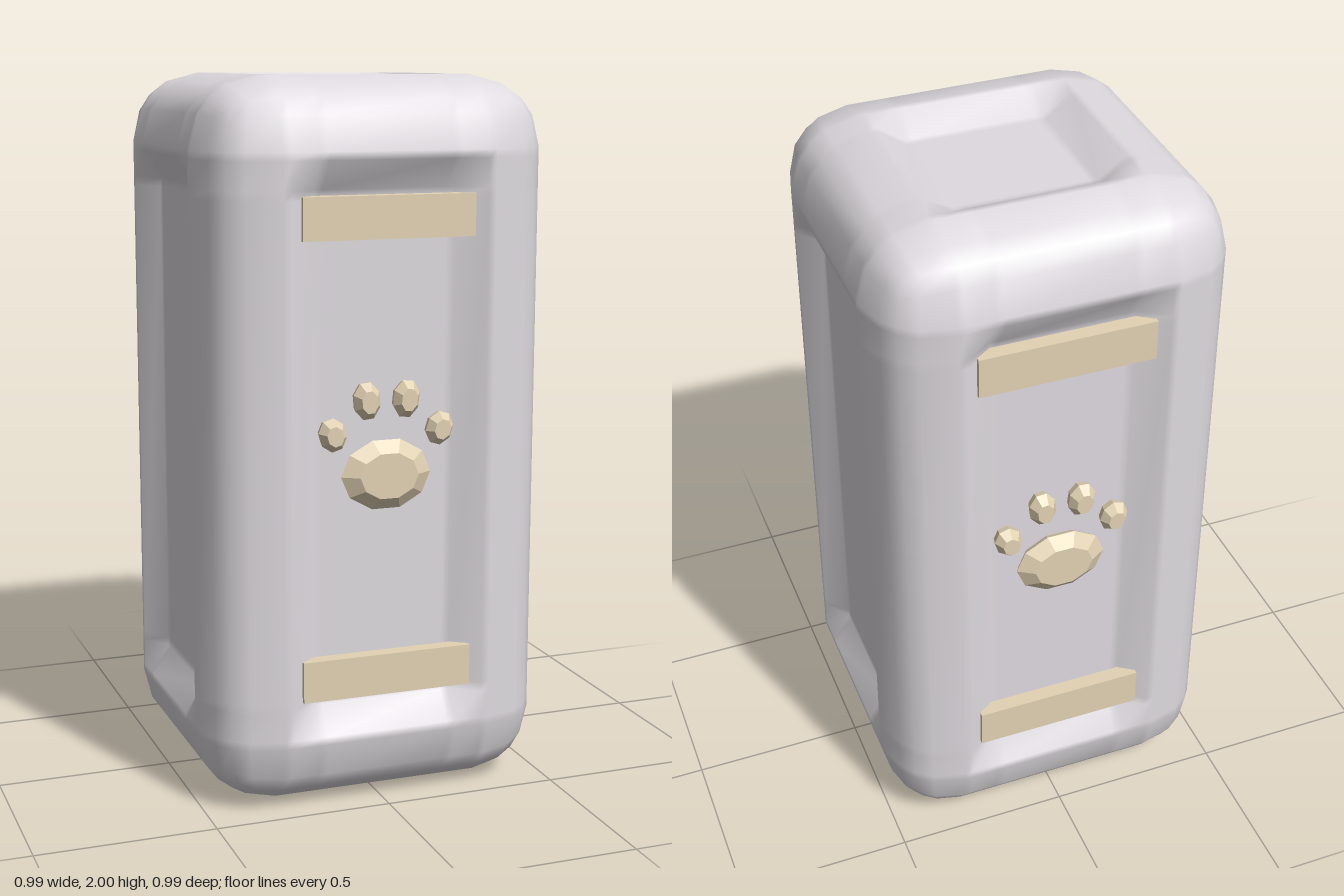
import * as THREE from 'three';
import { mergeVertices } from 'three/addons/utils/BufferGeometryUtils.js';

const HALF = [0.495, 1, 0.495];   // half size of the casing
const R = 0.195;                  // edge rounding
const DEPTH = 0.053;              // panel recess
const PANEL = HALF[2] - DEPTH;    // z of the recessed front panel

// Rounded casing with a sunken panel on each of its six sides
function casingGeometry() {
  const box = new THREE.BoxGeometry(2, 2, 2, 11, 11, 11);
  box.deleteAttribute('uv');
  box.deleteAttribute('normal');
  const geo = mergeVertices(box);
  const pos = geo.attributes.position;
  const core = HALF.map(h => h - R);
  for (let i = 0; i < pos.count; i++) {
    const unit = [pos.getX(i), pos.getY(i), pos.getZ(i)];
    // grid lines: floor, floor edge, rim, start of rounding, mid rounding, edge
    const p = unit.map((u, a) => {
      const h = HALF[a], k = Math.round((Math.abs(u) * 11 - 1) / 2);
      return Math.sign(u) * [h - 0.32, h - 0.295, h - 0.217, core[a], core[a] + 0.55 * R, h][k];
    });
    const inner = p.map((v, a) => Math.abs(v) <= HALF[a] - 0.29);
    // round off the edges and corners
    const q = p.map((v, a) => THREE.MathUtils.clamp(v, -core[a], core[a]));
    const d = p.map((v, a) => v - q[a]);
    const len = Math.hypot(...d);
    const out = q.map((v, a) => v + d[a] * R / len);
    // sink the panel floors
    for (let a = 0; a < 3; a++) {
      if (!inner[a] && inner[(a + 1) % 3] && inner[(a + 2) % 3]) out[a] -= Math.sign(p[a]) * DEPTH;
    }
    pos.setXYZ(i, out[0], out[1] + 1, out[2]);
  }
  geo.computeVertexNormals();
  return geo;
}

// Faceted cushion facing +z, with radius 1 and height 1
function cushionGeometry(profile, sides) {
  const geo = new THREE.LatheGeometry(profile.map(([r, y]) => new THREE.Vector2(r, y)), sides);
  geo.rotateX(Math.PI / 2);
  geo.rotateZ(Math.PI / sides);
  const flat = geo.toNonIndexed();
  flat.computeVertexNormals();
  return flat;
}

export function createModel() {
  const model = new THREE.Group();
  model.name = 'pawPrintBlock';
  const grey = new THREE.MeshStandardMaterial({ color: 0xdedadf });
  grey.name = 'pale grey';
  const tan = new THREE.MeshStandardMaterial({ color: 0xe2d2b3 });
  tan.name = 'sand';

  const add = (parent, name, geo, mat) => {
    const mesh = new THREE.Mesh(geo, mat);
    mesh.name = name;
    parent.add(mesh);
    return mesh;
  };

  add(model, 'casing', casingGeometry(), grey);

  const barGeo = new THREE.BoxGeometry(0.49, 0.115, 0.06);
  const padGeo = cushionGeometry([[0.85, 0], [1, 0.5], [0.65, 1], [0, 1]], 10);
  const toeGeo = cushionGeometry([[0.8, 0], [1, 0.55], [0.6, 1], [0, 1]], 8);

  // The same decoration sits on the front and the back panel
  for (const side of ['front', 'back']) {
    const face = new THREE.Group();
    face.name = side + 'Decoration';
    if (side === 'back') face.rotation.y = Math.PI;
    model.add(face);

    add(face, 'lowerBar', barGeo, tan).position.set(0, 0.375, 0.455);
    add(face, 'upperBar', barGeo, tan).position.set(0, 1.632, 0.455);

    // paw print: one wide pad and four toes
    const pad = add(face, 'pawPad', padGeo, tan);
    pad.position.set(0, 0.935, PANEL - 0.01);
    pad.scale.set(0.13, 0.1, 0.057);
    for (const s of [-1, 1]) {
      for (const [name, x, y, ry, tilt] of [
        ['innerToe', 0.057, 1.14, 0.054, -0.1],
        ['outerToe', 0.155, 1.053, 0.048, -0.3],
      ]) {
        const toe = add(face, name, toeGeo, tan);
        toe.position.set(s * x, y, PANEL - 0.01);
        toe.rotation.z = s * tilt;
        toe.scale.set(0.04, ry, 0.057);
      }
    }
  }
  return model;
}
